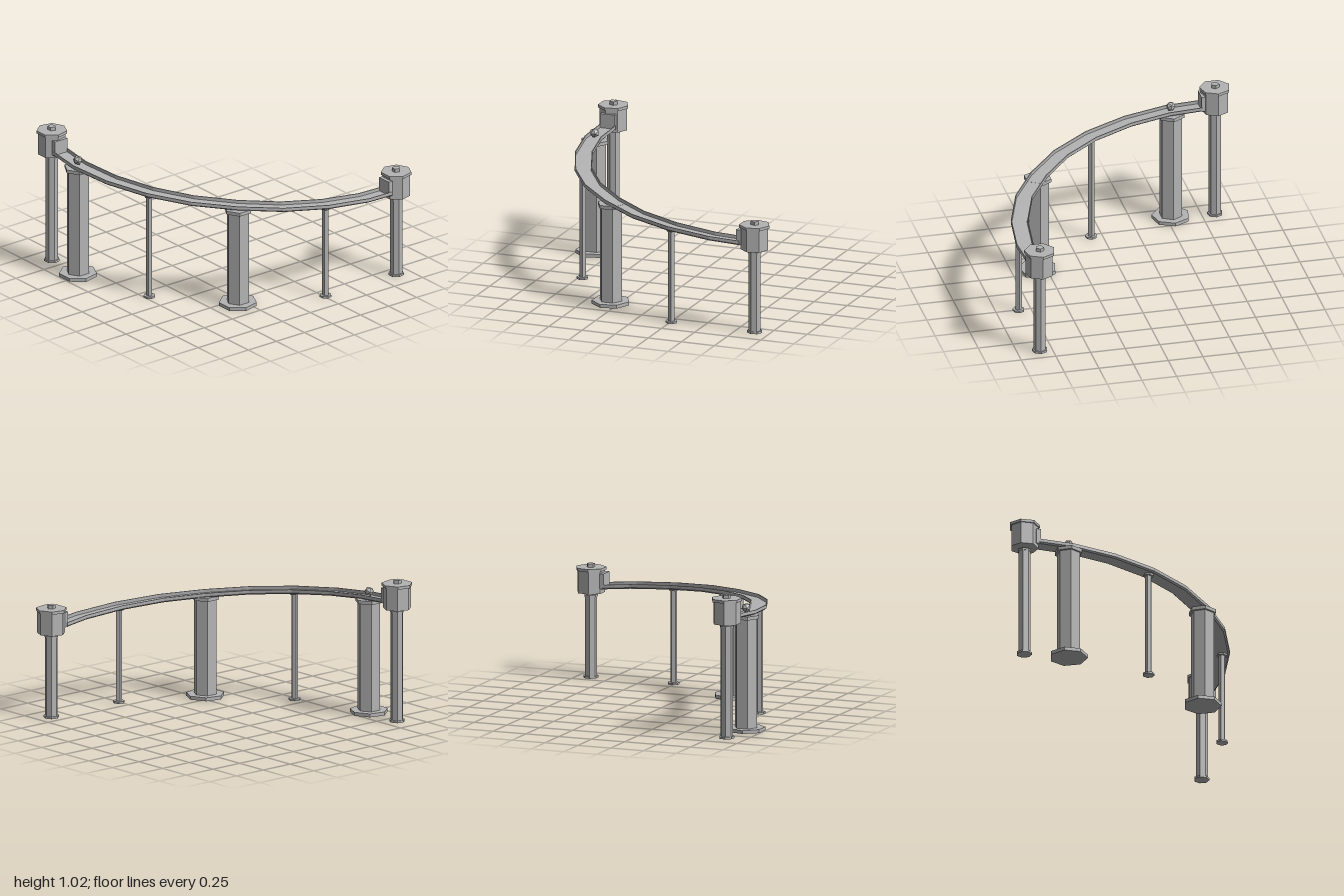
import * as THREE from 'three';

export function createModel() {
  const model = new THREE.Group();
  const grey = new THREE.MeshStandardMaterial({ color: 0xb4b4b4, flatShading: true });

  const add = (parent, name, geometry) => {
    const mesh = new THREE.Mesh(geometry, grey);
    mesh.name = name;
    parent.add(mesh);
    return mesh;
  };

  // Upright prism between two heights, with one corner pointing to the back
  const prism = (parent, name, radius, sides, y0, y1) => {
    const g = new THREE.CylinderGeometry(radius, radius, y1 - y0, sides);
    g.rotateY(Math.PI);
    g.translate(0, (y0 + y1) / 2, 0);
    return add(parent, name, g);
  };

  const place = (name, x, z) => {
    const group = new THREE.Group();
    group.name = name;
    group.position.set(x, 0, z);
    model.add(group);
    return group;
  };

  // Post with base plate, shaft and capital
  const post = (group, top, base, shaft, capital) => {
    prism(group, 'basePlate', base.r, base.n, 0, base.h);
    prism(group, 'shaft', shaft.r, shaft.n, base.h, top - base.h);
    prism(group, 'capital', capital.r, capital.n, top - base.h, top);
  };

  // Thick pillars
  for (const [x, z, top] of [[-0.53, 0.87, 0.828], [0.566, 0.306, 0.735]]) {
    post(place('thickPillar', x, z), top,
      { r: 0.136, n: 7, h: 0.025 }, { r: 0.083, n: 6 }, { r: 0.1, n: 6 });
  }

  // Thin supports
  for (const [x, z, top] of [[0.083, 0.715, 0.78], [0.84, -0.26, 0.685]]) {
    post(place('thinSupport', x, z), top,
      { r: 0.042, n: 7, h: 0.014 }, { r: 0.024, n: 5 }, { r: 0.037, n: 6 });
  }

  // End towers: post, separate head with lid and knob
  for (const [x, z, y] of [[-0.845, 0.855, 0.82], [0.84, -0.89, 0.61]]) {
    const tower = place('endTower', x, z);
    post(tower, y - 0.015,
      { r: 0.055, n: 7, h: 0.015 }, { r: 0.045, n: 7 }, { r: 0.049, n: 7 });
    prism(tower, 'head', 0.1, 7, y, y + 0.16);
    prism(tower, 'lid', 0.11, 7, y + 0.16, y + 0.18);
    prism(tower, 'knob', 0.03, 5, y + 0.18, y + 0.205);
  }

  // Upright plates where the track meets the towers
  const startPlate = add(model, 'startPlate', new THREE.BoxGeometry(0.035, 0.11, 0.11));
  startPlate.position.set(-0.754, 0.9, 0.858);
  const endPlate = add(model, 'endPlate', new THREE.BoxGeometry(0.11, 0.11, 0.035));
  endPlate.position.set(0.848, 0.7, -0.792);

  // Track: a U-shaped channel descending along a faceted arc
  const path = [
    [-0.745, 0.858], [-0.505, 0.872], [-0.21, 0.824], [0.083, 0.71], [0.342, 0.535],
    [0.56, 0.3], [0.73, 0.038], [0.835, -0.265], [0.872, -0.58], [0.85, -0.79],
  ].map(([x, z]) => new THREE.Vector2(x, z));
  const section = [
    [-0.05, 0], [0.05, 0], [0.061, 0.01], [0.061, 0.033], [0.054, 0.033],
    [0.054, 0.009], [-0.054, 0.009], [-0.054, 0.033], [-0.061, 0.033], [-0.061, 0.01],
  ].map(([s, y]) => new THREE.Vector2(s, y));
  const n = section.length;
  const last = path.length - 1;
  const positions = [];
  const index = [];
  let travelled = 0;
  path.forEach((p, i) => {
    if (i > 0) travelled += p.distanceTo(path[i - 1]);
    const t = path[Math.min(i + 1, last)].clone().sub(path[Math.max(i - 1, 0)]).normalize();
    for (const c of section) {
      positions.push(p.x - t.y * c.x, 0.844 - 0.0757 * travelled + c.y, p.y + t.x * c.x);
    }
    if (i === last) return;
    for (let j = 0; j < n; j++) {
      const a = i * n + j;
      const b = i * n + (j + 1) % n;
      index.push(a, a + n, b, b, a + n, b + n);
    }
  });
  for (const [a, b, c] of THREE.ShapeUtils.triangulateShape(section, [])) {
    index.push(a, b, c, last * n + a, last * n + c, last * n + b);
  }
  const channel = new THREE.BufferGeometry();
  channel.setAttribute('position', new THREE.Float32BufferAttribute(positions, 3));
  channel.setIndex(index);
  const flat = channel.toNonIndexed();
  flat.computeVertexNormals();
  add(model, 'track', flat);

  // Ball resting near the top of the track
  add(model, 'ball', new THREE.IcosahedronGeometry(0.035, 0)).position.set(-0.53, 0.877, 0.872);

  return model;
}
